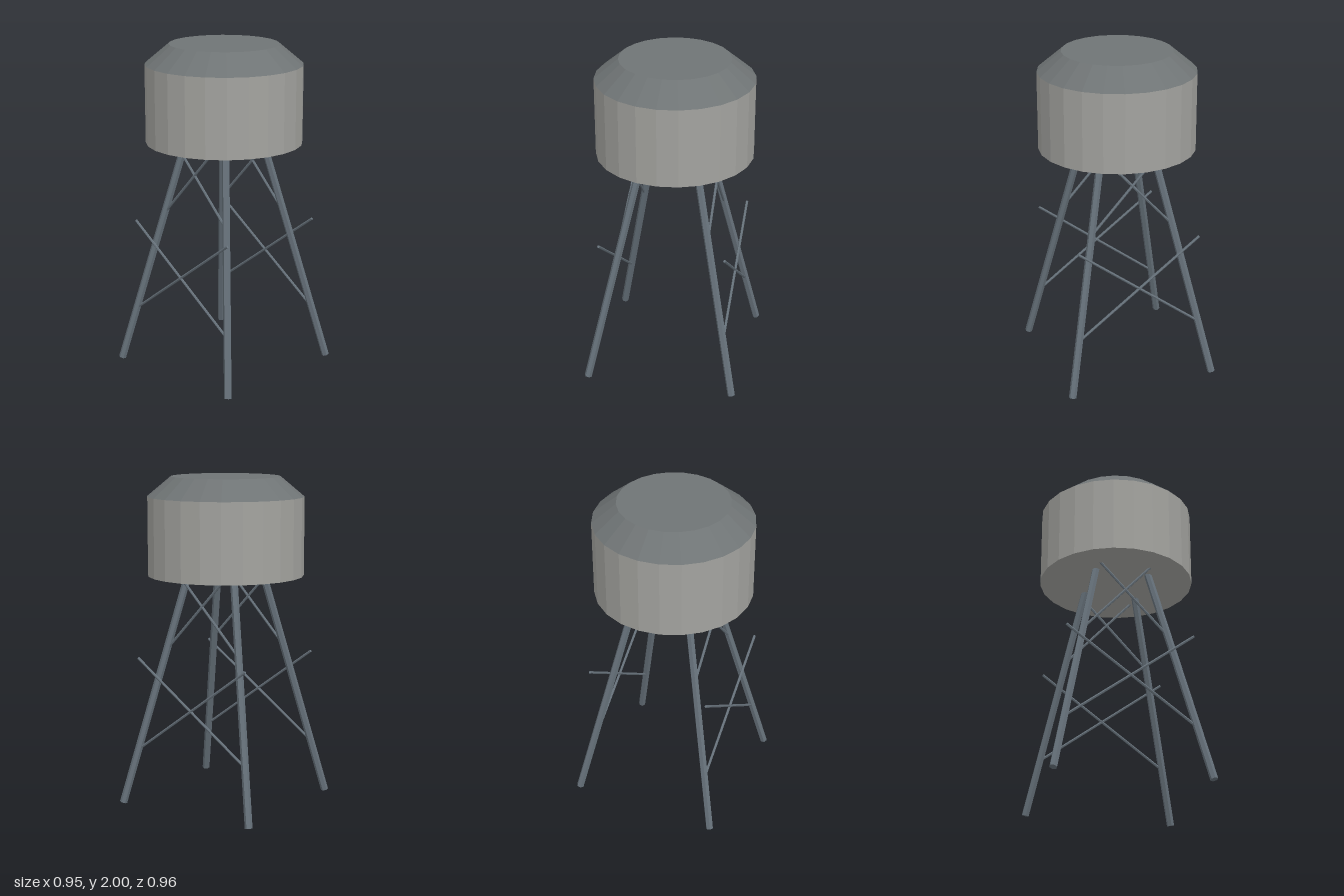
import * as THREE from 'three';

const paint = (color) => new THREE.MeshStandardMaterial({ color, flatShading: true });

// Straight rod between two points
function rod(name, a, b, radius, sides, material) {
  const dir = b.clone().sub(a);
  const mesh = new THREE.Mesh(new THREE.CylinderGeometry(radius, radius, dir.length(), sides), material);
  mesh.position.copy(a).add(b).multiplyScalar(0.5);
  mesh.quaternion.setFromUnitVectors(new THREE.Vector3(0, 1, 0), dir.normalize());
  mesh.name = name;
  return mesh;
}

// Upright 24-sided drum or frustum standing on y0
function drum(name, rTop, rBottom, y0, y1, material) {
  const mesh = new THREE.Mesh(new THREE.CylinderGeometry(rTop, rBottom, y1 - y0, 24), material);
  mesh.position.y = (y0 + y1) / 2;
  mesh.name = name;
  return mesh;
}

export function createModel() {
  const model = new THREE.Group();
  model.name = 'waterTower';
  const tankPaint = paint(0xa3a39f);
  const roofPaint = paint(0x6f7475);
  const steel = paint(0x66717a);
  const v = (x, y, z) => new THREE.Vector3(x, y, z);

  // Tank and its sloping roof
  model.add(drum('tank', 0.474, 0.474, 1.405, 1.88, tankPaint));
  model.add(drum('roof', 0.33, 0.474, 1.88, 2, roofPaint));

  // Four splayed legs
  const legs = new THREE.Group();
  legs.name = 'legs';
  for (const sx of [-1, 1]) {
    for (const sz of [-1, 1]) {
      legs.add(rod('leg', v(0.456 * sx, 0.006, 0.456 * sz), v(0.163 * sx, 1.415, 0.163 * sz), 0.023, 6, steel));
    }
  }
  model.add(legs);

  // Crossed braces on the front and back, in two tiers
  const braces = new THREE.Group();
  braces.name = 'braces';
  for (const [half, low, high] of [[0.383, 0.342, 0.91], [0.257, 0.96, 1.52]]) {
    for (const sz of [-1, 1]) {
      for (const sx of [-1, 1]) {
        braces.add(rod('brace', v(half * sx, low, half * sz), v(-half * sx, high, half * sz), 0.008, 6, steel));
      }
    }
  }
  model.add(braces);
  return model;
}
